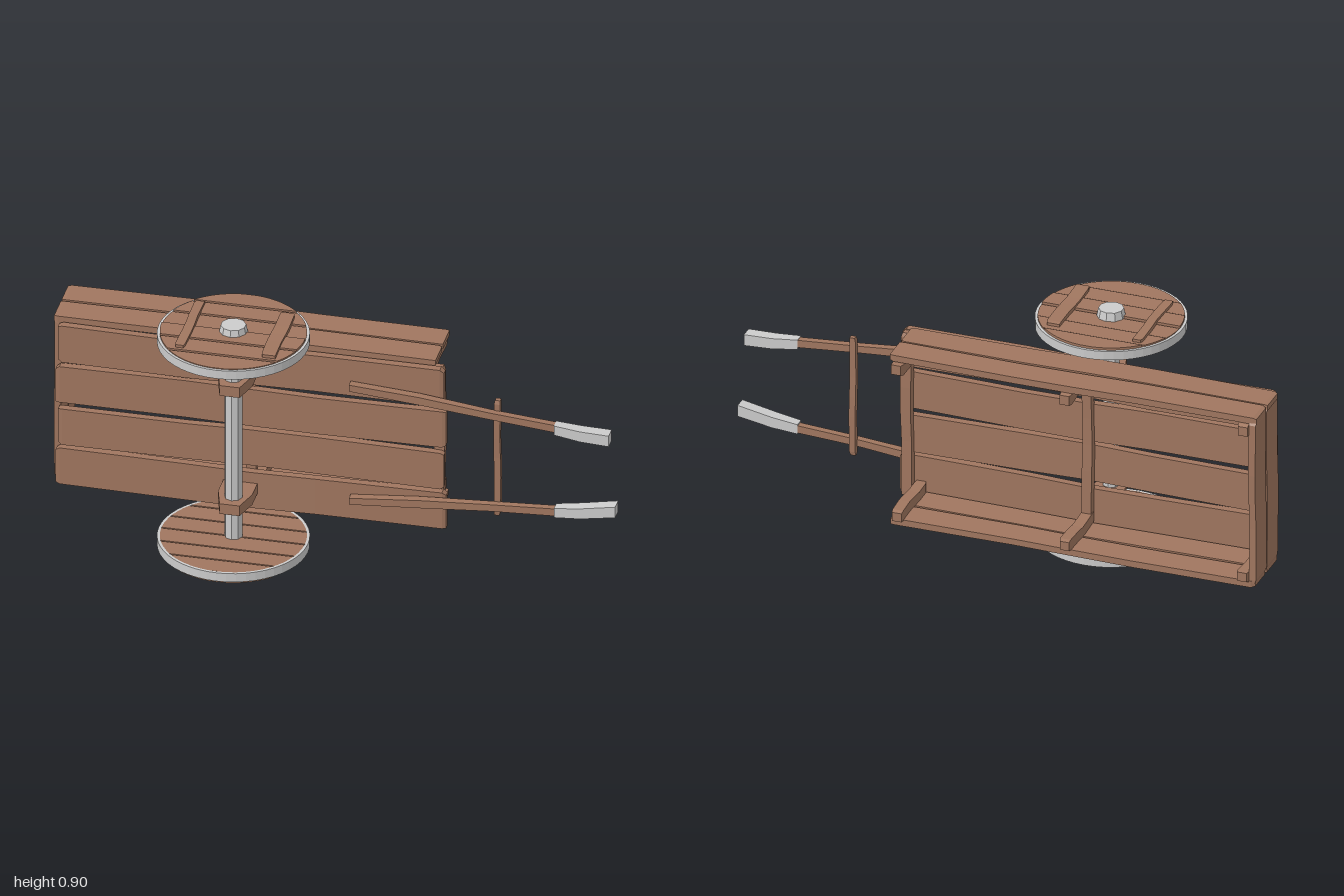
import * as THREE from 'three';

const wood = new THREE.MeshStandardMaterial({ color: 0xa0765f, flatShading: true });
const metal = new THREE.MeshStandardMaterial({ color: 0xcccccc, flatShading: true });

const AXLE_X = -0.335, AXLE_Z = 0.056, MID_Y = 0.45;
let seed = 1;

function add(parent, name, geometry, material) {
  const mesh = new THREE.Mesh(geometry, material);
  mesh.name = name;
  parent.add(mesh);
  return mesh;
}

// Hand-hewn board filling the given bounds: edges waver along the length, ends are chamfered
function board(parent, name, x, y, z, wobble = 0.006) {
  const bounds = [x, y, z];
  const size = bounds.map(([a, b]) => b - a);
  const mid = bounds.map(([a, b]) => (a + b) / 2);
  const along = size.indexOf(Math.max(...size));
  const segments = [1, 1, 1];
  segments[along] = 6;
  const geo = new THREE.BoxGeometry(...size, ...segments);
  const p = geo.attributes.position;
  const s = seed++;
  for (let i = 0; i < p.count; i++) {
    const v = [p.getX(i), p.getY(i), p.getZ(i)];
    const t = v[along] / size[along];
    const end = Math.abs(t) > 0.49;
    for (let a = 0; a < 3; a++) {
      if (a === along) continue;
      const side = Math.sign(v[a]);
      const w = Math.min(wobble, size[a] * 0.12);
      const wave = Math.sin(t * 9 + s * 2.4 + side * 1.3 + a);
      v[a] -= side * (w * (0.5 + 0.5 * wave) + (end ? w * 0.7 : 0));
    }
    // Bring the ring next to each end outward to form the chamfer
    if (!end && Math.abs(t) > 0.3) v[along] = Math.sign(t) * (size[along] / 2 - 0.014);
    p.setXYZ(i, v[0] + mid[0], v[1] + mid[1], v[2] + mid[2]);
  }
  geo.computeVertexNormals();
  return add(parent, name, geo, wood);
}

// Square bar whose section (height, depth) is swept through a few points
function bar(parent, name, points, sections, material) {
  const pos = [], index = [];
  points.forEach(([x, y, z], i) => {
    const [h, d] = sections[i];
    [[-1, -1], [1, -1], [1, 1], [-1, 1]].forEach(([a, b]) => pos.push(x, y + a * h / 2, z + b * d / 2));
  });
  for (let i = 0; i < points.length - 1; i++) {
    for (let k = 0; k < 4; k++) {
      const a = i * 4 + k, b = i * 4 + (k + 1) % 4;
      index.push(a, b, b + 4, a, b + 4, a + 4);
    }
  }
  const e = (points.length - 1) * 4;
  index.push(0, 2, 1, 0, 3, 2, e, e + 1, e + 2, e, e + 2, e + 3);
  const geo = new THREE.BufferGeometry();
  geo.setAttribute('position', new THREE.Float32BufferAttribute(pos, 3));
  geo.setIndex(index);
  geo.computeVertexNormals();
  return add(parent, name, geo, material);
}

// Plank wheel lying flat; its outer face points to +y
function wheel(name) {
  const group = new THREE.Group();
  group.name = name;
  const R = 0.262, inner = 0.252;

  const ring = new THREE.Shape().absarc(0, 0, R, 0, Math.PI * 2);
  ring.holes.push(new THREE.Path().absarc(0, 0, inner, 0, Math.PI * 2, true));
  const rim = new THREE.ExtrudeGeometry(ring, { depth: 0.033, bevelEnabled: false, curveSegments: 24 });
  add(group, 'wheelRim', rim.rotateX(-Math.PI / 2), metal);

  // Planks cut to the circle, with narrow gaps between
  const cuts = [-0.254, -0.165, -0.08, 0.005, 0.092, 0.174, 0.254];
  for (let i = 0; i < cuts.length - 1; i++) {
    const lo = Math.max(cuts[i] + 0.003, -inner + 0.001), hi = Math.min(cuts[i + 1] - 0.003, inner - 0.001);
    const a0 = Math.asin(lo / inner), a1 = Math.asin(hi / inner);
    const shape = new THREE.Shape();
    shape.absarc(0, 0, inner, a0, a1, false);
    shape.absarc(0, 0, inner, Math.PI - a1, Math.PI - a0, false);
    const geo = new THREE.ExtrudeGeometry(shape, { depth: 0.036 + (i % 3) * 0.003, bevelEnabled: false, curveSegments: 8 });
    add(group, 'wheelPlank', geo.rotateX(-Math.PI / 2), wood);
  }

  // Battens across the planks
  board(group, 'wheelBatten', [-0.172, -0.135], [0.034, 0.052], [-0.16, 0.15], 0.004);
  board(group, 'wheelBatten', [0.13, 0.185], [0.034, 0.052], [-0.15, 0.15], 0.004);

  const hub = new THREE.CylinderGeometry(0.044, 0.05, 0.03, 10);
  add(group, 'hubCap', hub.translate(0, 0.051, 0), metal);
  return group;
}

export function createModel() {
  const model = new THREE.Group();
  model.name = 'handcart';

  // Wheels and axle
  const upper = wheel('upperWheel');
  upper.position.set(AXLE_X, 0.835, AXLE_Z);
  const lower = wheel('lowerWheel');
  lower.position.set(AXLE_X, 0.066, AXLE_Z);
  lower.rotation.x = Math.PI;
  model.add(upper, lower);
  const axle = new THREE.CylinderGeometry(0.031, 0.031, 0.82, 8);
  add(model, 'axle', axle.translate(AXLE_X, MID_Y, AXLE_Z), metal);

  // Axle brackets, tapering away from the bed
  for (const y of [0.18, 0.648]) {
    const profile = new THREE.Shape([[-0.06, -0.055], [0.06, -0.055], [0.06, 0.03], [0.035, 0.115], [-0.035, 0.115], [-0.06, 0.03]]
      .map(([x, z]) => new THREE.Vector2(x, -z)));
    const geo = new THREE.ExtrudeGeometry(profile, { depth: 0.04, bevelEnabled: false });
    add(model, 'axleBracket', geo.rotateX(-Math.PI / 2).translate(AXLE_X, y, 0), wood);
  }

  // Bed floor
  const bed = new THREE.Group();
  bed.name = 'bed';
  model.add(bed);
  [[0.12, 0.27], [0.282, 0.432], [0.443, 0.595], [0.605, 0.755]].forEach((y, i) =>
    board(bed, 'floorPlank', [-0.985 + (i % 2) * 0.008, 0.388 - (i % 2) * 0.008], y, [-0.077, -0.045], 0.009));

  // Side and end walls, two planks high
  for (const z of [[-0.194, -0.082], [-0.306, -0.197]]) {
    board(bed, 'sidePlank', [-1, 0.342], [0.743, 0.771], z);
    board(bed, 'sidePlank', [-0.995, 0.338], [0.113, 0.14], z);
    board(bed, 'endPlank', [-1, -0.972], [0.13, 0.755], z);
  }

  // Posts inside the walls and cross members on the floor
  for (const x of [-0.956, -0.305, 0.31]) {
    for (const y of [[0.7, 0.745], [0.135, 0.178]]) {
      board(bed, 'wallPost', [x - 0.022, x + 0.022], y, [-0.32, -0.072], 0.004);
    }
  }
  board(bed, 'crossMember', [-0.325, -0.285], [0.14, 0.745], [-0.105, -0.072], 0.005);
  board(bed, 'crossMember', [0.335, 0.378], [0.125, 0.75], [-0.105, -0.072], 0.005);

  // Handles with grips
  const shaft = [[0.025, 0.03], [0.03, 0.03], [0.026, 0.026], [0.028, 0.026]];
  bar(model, 'handleShaft', [[0.055, 0.662, -0.026], [0.3, 0.643, -0.026], [0.55, 0.618, -0.022], [0.79, 0.597, -0.022]], shaft, wood);
  bar(model, 'handleShaft', [[0.055, 0.214, -0.026], [0.3, 0.235, -0.026], [0.55, 0.255, -0.022], [0.79, 0.268, -0.022]], shaft, wood);
  const grip = [[0.036, 0.036], [0.04, 0.044], [0.042, 0.046]];
  bar(model, 'handleGrip', [[0.778, 0.596, -0.02], [0.87, 0.585, -0.02], [0.972, 0.581, -0.02]], grip, metal);
  bar(model, 'handleGrip', [[0.778, 0.269, -0.02], [0.87, 0.28, -0.02], [0.995, 0.303, -0.02]], grip, metal);
  board(model, 'handleCrossbar', [0.558, 0.584], [0.214, 0.668], [-0.056, -0.032], 0.004);

  return model;
}
